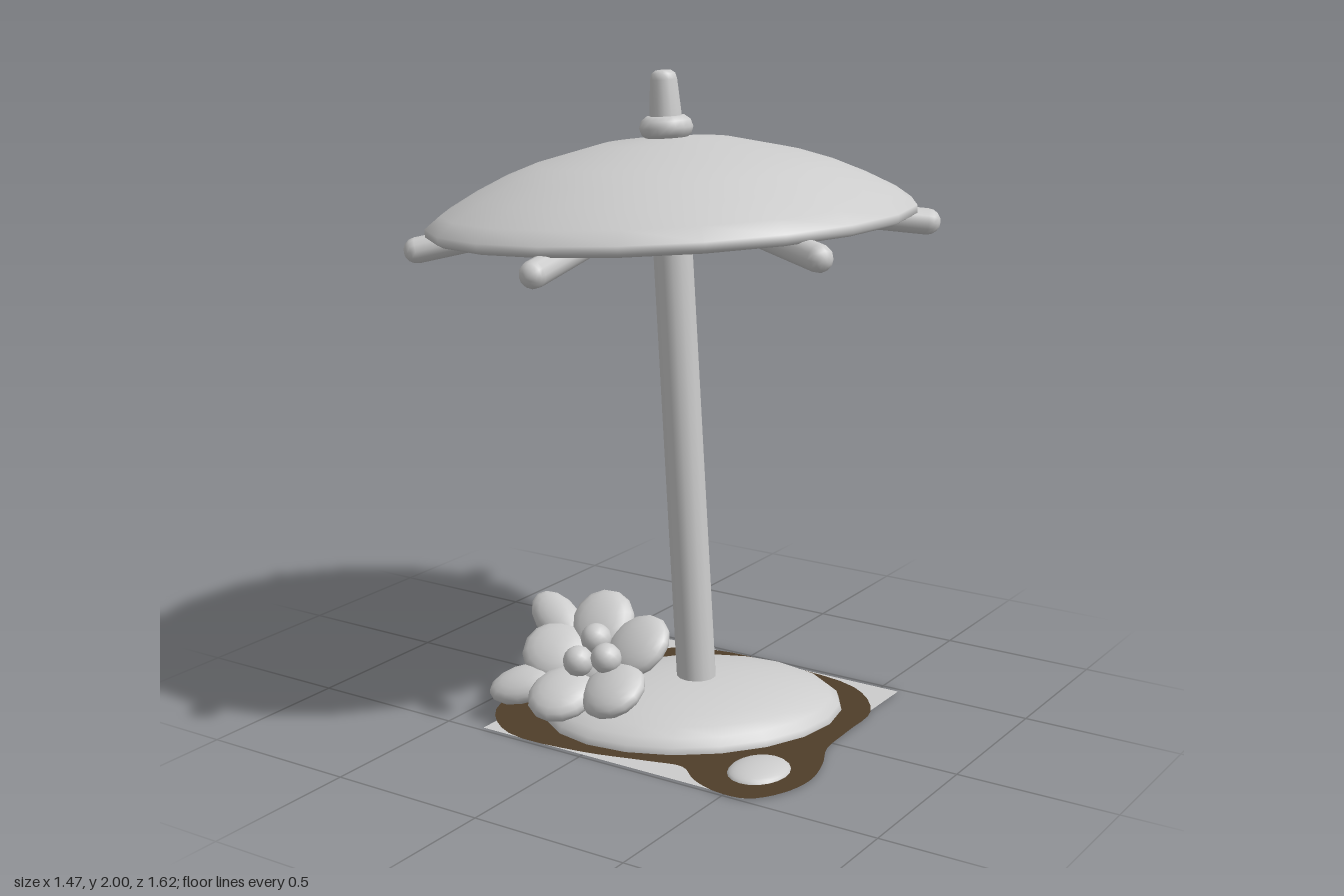
import * as THREE from 'three';

export function createModel() {
  const stone = new THREE.MeshStandardMaterial({ color: 0xcccccc, side: THREE.DoubleSide });
  stone.name = 'light grey';
  const soil = new THREE.MeshStandardMaterial({ color: 0x4f3e2a, side: THREE.DoubleSide });
  soil.name = 'dark brown';

  const model = new THREE.Group();
  model.name = 'parasol';

  const add = (parent, name, geometry, material = stone) => {
    const mesh = new THREE.Mesh(geometry, material);
    mesh.name = name;
    parent.add(mesh);
    return mesh;
  };
  const lathe = (points, sides) =>
    new THREE.LatheGeometry(points.map(([r, y]) => new THREE.Vector2(r, y)), sides);
  const ellipsoid = (rx, ry, rz) => new THREE.SphereGeometry(1, 14, 10).scale(rx, ry, rz);

  // Ground: square sheet with a wavy-edged soil patch on it
  add(model, 'groundSheet', new THREE.PlaneGeometry(0.94, 0.965).rotateX(-Math.PI / 2)).position.x = 0.093;
  const outline = [
    [0.585, -0.1], [0.57, -0.28], [0.43, -0.43], [0.14, -0.475], [-0.13, -0.47], [-0.3, -0.375],
    [-0.42, -0.17], [-0.465, 0.1], [-0.43, 0.35], [-0.28, 0.48], [-0.02, 0.475], [0.2, 0.42],
    [0.3, 0.4], [0.38, 0.46], [0.48, 0.495], [0.575, 0.485], [0.64, 0.4], [0.665, 0.28], [0.64, 0.16], [0.595, 0.05],
  ];
  const edge = new THREE.CatmullRomCurve3(outline.map(([x, z]) => new THREE.Vector3(x, -z, 0)), true);
  const patch = new THREE.Shape(edge.getPoints(80).map((p) => new THREE.Vector2(p.x, p.y)));
  add(model, 'soilPatch', new THREE.ShapeGeometry(patch).rotateX(-Math.PI / 2), soil).position.y = 0.004;

  // Sand mounds: half ellipsoids, the large one long on the diagonal
  const mound = (name, x, z, rx, h, rz, turn) => {
    const dome = new THREE.SphereGeometry(1, 20, 8, 0, Math.PI * 2, 0, Math.PI / 2).scale(rx, h, rz);
    const mesh = add(model, name, dome);
    mesh.position.set(x, 0, z);
    mesh.rotation.y = turn;
  };
  mound('sandMound', 0.09, 0, 0.475, 0.12, 0.365, Math.PI / 4);
  mound('smallSandMound', 0.505, 0.3, 0.09, 0.03, 0.11, 0);

  // Leaning parasol: spun about its own axis, then tilted
  const parasol = new THREE.Group();
  parasol.name = 'leaningParasol';
  parasol.position.x = 0.104;
  parasol.rotation.set(0, THREE.MathUtils.degToRad(4), THREE.MathUtils.degToRad(3.75), 'ZYX');
  model.add(parasol);

  add(parasol, 'pole', new THREE.CylinderGeometry(0.06, 0.062, 1.78, 14)).position.y = 0.9;

  // Canopy: thin shell with the underside from the centre out, a flat rim, then the top
  add(parasol, 'canopy', lathe([
    [0, 1.79], [0.2, 1.773], [0.4, 1.725], [0.58, 1.65], [0.685, 1.588],
    [0.695, 1.555], [0.72, 1.545], [0.738, 1.555], [0.738, 1.578],
    [0.69, 1.615], [0.6, 1.664], [0.5, 1.71], [0.4, 1.745], [0.2, 1.793], [0, 1.81],
  ], 20));

  // Six rounded ribs sloping down from the pole
  for (let i = 0; i < 6; i++) {
    const a = Math.PI / 2 + (i * Math.PI) / 3;
    const start = new THREE.Vector3(0, 1.63, 0);
    const end = new THREE.Vector3(Math.cos(a) * 0.77, 1.508, Math.sin(a) * 0.77);
    const dir = end.clone().sub(start);
    const rib = add(parasol, 'rib', new THREE.CapsuleGeometry(0.04, dir.length(), 4, 12));
    rib.position.copy(start).add(end).multiplyScalar(0.5);
    rib.quaternion.setFromUnitVectors(new THREE.Vector3(0, 1, 0), dir.normalize());
  }

  // Finial: round ring and tapered knob
  add(parasol, 'finialRing', new THREE.TorusGeometry(0.046, 0.036, 10, 18).rotateX(Math.PI / 2)).position.y = 1.834;
  add(parasol, 'finialKnob', lathe([
    [0.052, 1.8], [0.049, 1.87], [0.041, 1.975], [0.036, 1.993], [0.024, 2.002], [0, 2.004],
  ], 14));

  // Flower: local y is its facing direction, tilted up and forwards
  const flower = new THREE.Group();
  flower.name = 'flower';
  flower.position.set(-0.113, 0.193, 0.25);
  flower.rotation.x = 0.64;
  model.add(flower);

  const blade = (name, degrees, radius, size, lift, tilt) => {
    const arm = new THREE.Group();
    arm.name = name + 'Arm';
    arm.rotation.y = THREE.MathUtils.degToRad(degrees);
    flower.add(arm);
    const mesh = add(arm, name, ellipsoid(...size));
    mesh.position.set(radius, lift, 0);
    mesh.rotation.z = tilt;
  };
  for (let i = 0; i < 5; i++) blade('petal', 36 + i * 72, 0.142, [0.114, 0.05, 0.106], 0.012, 0.22);
  blade('upperLeaf', 151, 0.235, [0.12, 0.045, 0.068], 0.015, 0.15);
  blade('lowerLeaf', 214, 0.235, [0.115, 0.045, 0.068], 0.005, 0.08);

  // Flower heart: core with three round stamens
  add(flower, 'core', ellipsoid(0.08, 0.045, 0.08));
  for (let i = 0; i < 3; i++) {
    const a = THREE.MathUtils.degToRad(110 + i * 120);
    add(flower, 'stamen', ellipsoid(0.048, 0.048, 0.048))
      .position.set(0.017 + Math.cos(a) * 0.053, 0.062, -Math.sin(a) * 0.053);
  }

  return model;
}
